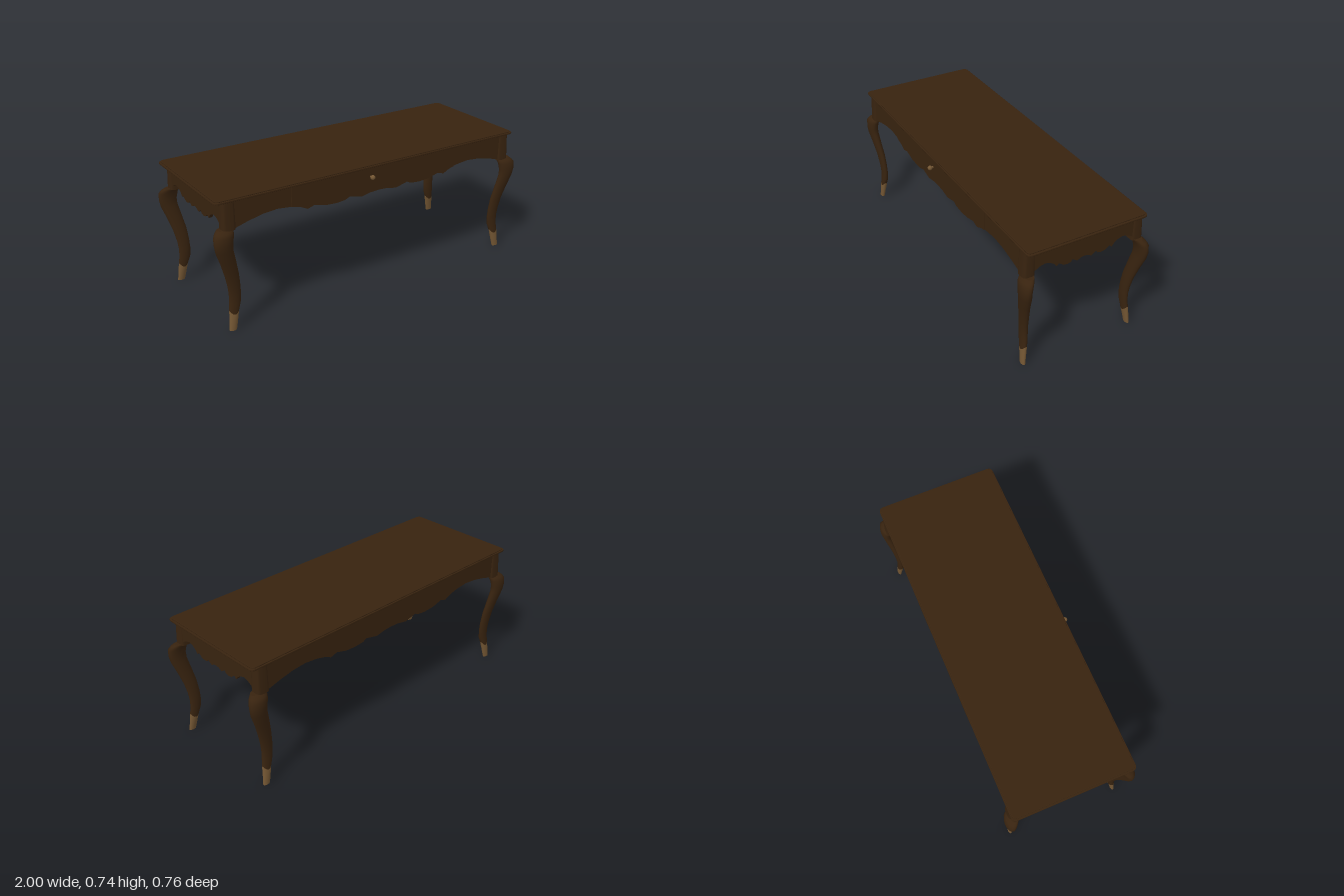
import * as THREE from 'three';

const wood = new THREE.MeshStandardMaterial({ color: 0x38230f });
wood.name = 'darkWood';
const brass = new THREE.MeshStandardMaterial({ color: 0x735633 });
brass.name = 'agedBrass';

// Half of the scalloped lower edge: [distance from centre, height]
const EDGE = [[0, 0.588], [0.02, 0.585], [0.042, 0.573], [0.07, 0.592], [0.08, 0.579], [0.1, 0.574],
  [0.125, 0.578], [0.15, 0.597], [0.165, 0.584], [0.18, 0.604], [0.2, 0.618], [0.23, 0.627],
  [0.26, 0.62], [0.29, 0.603], [0.32, 0.58]];
const TOP = 0.73;

function edgeHeight(d) {
  const a = Math.abs(d);
  for (let i = 1; i < EDGE.length; i++) {
    const [d0, y0] = EDGE[i - 1], [d1, y1] = EDGE[i];
    if (a <= d1) return y0 + (y1 - y0) * (a - d0) / (d1 - d0);
  }
  return EDGE[EDGE.length - 1][1];
}

// Scalloped board between two positions, with the edge stretched by scale
function skirt(from, to, scale, thick) {
  const inner = [...EDGE.slice(1).reverse().map(([d]) => -d * scale), ...EDGE.map(([d]) => d * scale)]
    .filter((x) => x > from + 0.001 && x < to - 0.001);
  const shape = new THREE.Shape();
  shape.moveTo(to, TOP);
  shape.lineTo(from, TOP);
  for (const x of [from, ...inner, to]) shape.lineTo(x, edgeHeight(x / scale));
  shape.closePath();
  return new THREE.ExtrudeGeometry(shape, { depth: thick, bevelEnabled: false }).translate(0, 0, -thick / 2);
}

// Skin over rings [y, cx, cz, rx, rz, wave], ordered upward; power < 1 squares the section
function loft(rings, n = 16, power = 1) {
  const pos = [], index = [];
  const bend = (v) => Math.sign(v) * Math.pow(Math.abs(v), power);
  const addRing = ([y, cx, cz, rx, rz, wave = 0]) => {
    for (let i = 0; i < n; i++) {
      const a = i / n * Math.PI * 2;
      pos.push(cx + rx * bend(Math.cos(a)), y + wave * Math.cos(2 * a), cz + rz * bend(Math.sin(a)));
    }
  };
  rings.forEach(addRing);
  for (let r = 0; r < rings.length - 1; r++) {
    for (let i = 0; i < n; i++) {
      const a = r * n + i, b = r * n + (i + 1) % n;
      index.push(a, a + n, b, b, a + n, b + n);
    }
  }
  for (const [ring, up] of [[rings[0], false], [rings[rings.length - 1], true]]) {
    const c = pos.length / 3;
    pos.push(ring[1], ring[0], ring[2]);
    addRing(ring);
    for (let i = 0; i < n; i++) {
      const a = c + 1 + i, b = c + 1 + (i + 1) % n;
      index.push(c, up ? b : a, up ? a : b);
    }
  }
  const g = new THREE.BufferGeometry();
  g.setAttribute('position', new THREE.Float32BufferAttribute(pos, 3));
  g.setIndex(index);
  g.computeVertexNormals();
  return g;
}

// Flat slab with softly rounded corners
function slab(w, d, h, r) {
  const x = w / 2, z = d / 2, s = new THREE.Shape();
  s.moveTo(-x + r, -z);
  s.lineTo(x - r, -z); s.quadraticCurveTo(x, -z, x, -z + r);
  s.lineTo(x, z - r); s.quadraticCurveTo(x, z, x - r, z);
  s.lineTo(-x + r, z); s.quadraticCurveTo(-x, z, -x, z - r);
  s.lineTo(-x, -z + r); s.quadraticCurveTo(-x, -z, -x + r, -z);
  const b = 0.002;
  return new THREE.ExtrudeGeometry(s, { depth: h - 2 * b, bevelThickness: b, bevelSize: b, bevelOffset: -b, bevelSegments: 2, curveSegments: 5 })
    .rotateX(-Math.PI / 2).translate(0, b, 0);
}

// Rings of one curved leg, from the floor up
const FOOT = [[0, 0.912, 0.3315, 0.021, 0.0115], [0.05, 0.904, 0.3265, 0.024, 0.0145], [0.1, 0.896, 0.321, 0.028, 0.017, 0.012]];
const LEG = [FOOT[2], [0.15, 0.886, 0.3155, 0.033, 0.0185], [0.2, 0.884, 0.3155, 0.0345, 0.0185],
  [0.25, 0.888, 0.318, 0.036, 0.0195], [0.32, 0.9, 0.324, 0.04, 0.021], [0.4, 0.921, 0.336, 0.044, 0.024],
  [0.47, 0.942, 0.346, 0.049, 0.028], [0.51, 0.946, 0.349, 0.052, 0.0295], [0.55, 0.942, 0.345, 0.056, 0.032],
  [0.568, 0.934, 0.335, 0.052, 0.032], [0.582, 0.926, 0.323, 0.043, 0.027]];

export function createModel() {
  const group = new THREE.Group();
  group.name = 'writingDesk';
  const add = (name, geometry, material, x = 0, y = 0, z = 0) => {
    const m = new THREE.Mesh(geometry, material);
    m.name = name;
    m.position.set(x, y, z);
    group.add(m);
    return m;
  };
  const box = (name, w, h, d, x, y, z) => add(name, new THREE.BoxGeometry(w, h, d), wood, x, y, z);

  // Table top with a stepped rim
  add('topRim', slab(1.96, 0.706, 0.01, 0.03), wood, -0.005, 0.728, 0);
  add('topBoard', slab(1.94, 0.692, 0.007, 0.025), wood, -0.005, 0.737, 0);

  // Legs, metal feet and corner posts
  for (const sx of [-1, 1]) {
    for (const sz of [-1, 1]) {
      const place = (rings) => rings.map(([y, x, z, ...rest]) => [y, x * sx, z * sz, ...rest]);
      const side = (sz > 0 ? 'front' : 'back') + (sx > 0 ? 'Left' : 'Right');
      add(side + 'Leg', loft(place(LEG)), wood);
      add(side + 'Foot', loft(place(FOOT)), brass);
      add(side + 'Post', loft(place([[0.577, 0.907, 0.3215, 0.037, 0.0325], [TOP, 0.905, 0.318, 0.035, 0.03]]), 20, 0.5), wood);
    }
  }

  // Scalloped aprons; the front one is split around the drawer
  const thick = 0.02, scale = 2.75;
  add('backApron', skirt(-0.9, 0.9, scale, thick), wood, 0, 0, -0.333);
  add('frontApronRight', skirt(-0.9, -0.551, scale, thick), wood, 0, 0, 0.333);
  add('frontApronLeft', skirt(0.531, 0.9, scale, thick), wood, 0, 0, 0.333);
  add('drawerFront', skirt(-0.549, 0.529, scale, thick), wood, 0, 0, 0.336);
  for (const sx of [-1, 1]) {
    add(sx > 0 ? 'leftApron' : 'rightApron', skirt(-0.31, 0.31, 1, thick).rotateY(Math.PI / 2), wood, sx * 0.925, 0, 0);
  }

  // Drawer tray and the rail carrying it
  box('drawerBottom', 0.94, 0.01, 0.36, 0, 0.615, 0.15);
  box('drawerBack', 0.94, 0.09, 0.014, 0, 0.655, -0.023);
  for (const sx of [-1, 1]) box('drawerSide', 0.014, 0.09, 0.36, sx * 0.463, 0.655, 0.15);
  box('drawerRail', 1.82, 0.012, 0.13, 0, 0.627, 0.085);

  // Drawer knob
  add('drawerKnob', new THREE.SphereGeometry(0.0135, 16, 12), brass, -0.055, 0.678, 0.3655);
  add('knobStem', new THREE.CylinderGeometry(0.005, 0.006, 0.012, 10).rotateX(Math.PI / 2), brass, -0.055, 0.678, 0.35);

  return group;
}
